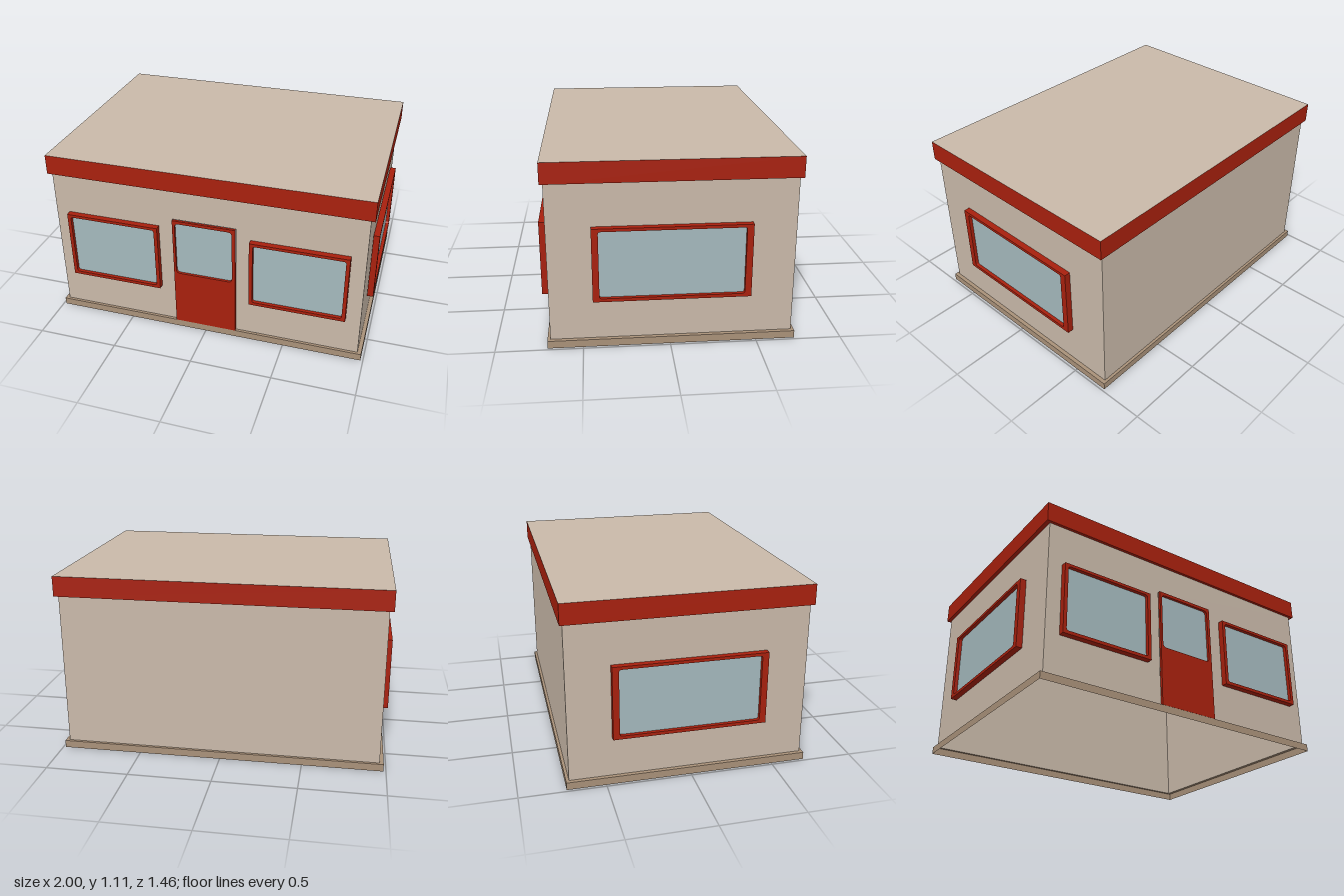
import * as THREE from 'three';

const mat = (name, color) => {
  const m = new THREE.MeshStandardMaterial({ color, side: THREE.DoubleSide });
  m.name = name;
  return m;
};

// Four-sided strip between two rectangles [halfX, halfZ] at heights yA and yB
function strip([ax, az], yA, [bx, bz], yB, skipFront = false) {
  const signs = [[-1, 1], [1, 1], [1, -1], [-1, -1]];
  const pos = [];
  for (let i = skipFront ? 1 : 0; i < 4; i++) {
    const [s, t] = [signs[i], signs[(i + 1) % 4]];
    const a = [s[0] * ax, yA, s[1] * az], b = [t[0] * ax, yA, t[1] * az];
    const c = [t[0] * bx, yB, t[1] * bz], d = [s[0] * bx, yB, s[1] * bz];
    pos.push(...a, ...b, ...c, ...a, ...c, ...d);
  }
  const g = new THREE.BufferGeometry();
  g.setAttribute('position', new THREE.Float32BufferAttribute(pos, 3));
  g.computeVertexNormals();
  return g;
}

// Rectangle outline with rounded corners
function roundRect(path, x0, y0, x1, y1, r) {
  path.moveTo(x0 + r, y0);
  path.lineTo(x1 - r, y0);
  path.quadraticCurveTo(x1, y0, x1, y0 + r);
  path.lineTo(x1, y1 - r);
  path.quadraticCurveTo(x1, y1, x1 - r, y1);
  path.lineTo(x0 + r, y1);
  path.quadraticCurveTo(x0, y1, x0, y1 - r);
  path.lineTo(x0, y0 + r);
  path.quadraticCurveTo(x0, y0, x0 + r, y0);
  return path;
}

const rect = (x0, y0, x1, y1) => new THREE.Shape([
  [x0, y0], [x1, y0], [x1, y1], [x0, y1],
].map(([x, y]) => new THREE.Vector2(x, y)));

export function createModel() {
  const model = new THREE.Group();
  model.name = 'smallShop';

  const wallMat = mat('beige wall', 0xc9b9a9);
  const baseMat = mat('tan base', 0xa99179);
  const redMat = mat('red trim', 0xa8200d);
  const glassMat = mat('pale glass', 0xa4b9bd);

  const add = (parent, name, geometry, material) => {
    const mesh = new THREE.Mesh(geometry, material);
    mesh.name = name;
    parent.add(mesh);
    return mesh;
  };

  const wall = [0.961, 0.699], rim = [0.985, 0.716];
  const baseY = 0.045, trimY = 0.985, topY = 1.107, doorTop = 0.79, doorX = 0.195;

  const house = new THREE.Group();
  house.name = 'house';
  house.position.z = -0.012;
  model.add(house);

  // Hollow base skirt and its ledge, open underneath
  add(house, 'baseSkirt', strip(rim, 0, rim, baseY), baseMat);
  add(house, 'baseLedge', strip(rim, baseY, wall, baseY), baseMat);

  // Walls, the front one with a doorway
  add(house, 'sideAndBackWalls', strip(wall, baseY, wall, trimY, true), wallMat);
  const front = new THREE.Shape([
    [-wall[0], baseY], [-doorX, baseY], [-doorX, doorTop], [doorX, doorTop],
    [doorX, baseY], [wall[0], baseY], [wall[0], trimY], [-wall[0], trimY],
  ].map(([x, y]) => new THREE.Vector2(x, y)));
  add(house, 'frontWall', new THREE.ShapeGeometry(front), wallMat).position.z = wall[1];

  // Roof band and flat roof
  add(house, 'roofBandSoffit', strip(wall, trimY, rim, trimY), redMat);
  add(house, 'roofBand', strip(rim, trimY, rim, topY), redMat);
  const roof = add(house, 'roof', new THREE.PlaneGeometry(rim[0] * 2, rim[1] * 2), wallMat);
  roof.rotation.x = -Math.PI / 2;
  roof.position.y = topY;

  // Framed panel with a glazed opening, facing +z
  const framed = (w, y0, y1, depth, hole, r) => {
    const shape = rect(-w, y0, w, y1);
    shape.holes.push(roundRect(new THREE.Path(), ...hole, r));
    return new THREE.ExtrudeGeometry(shape, { depth, bevelEnabled: false, curveSegments: 4 });
  };

  // Door slab with a glass sheet behind its upper opening
  const door = new THREE.Group();
  door.name = 'door';
  door.position.z = wall[1] + 0.002;
  house.add(door);
  add(door, 'doorPanel', framed(doorX, baseY, doorTop, 0.016, [-0.18, 0.415, 0.175, 0.77], 0.025), redMat);
  add(door, 'doorGlass', new THREE.ShapeGeometry(rect(-0.192, 0.385, 0.192, 0.777)), glassMat)
    .position.z = -0.001;

  // Windows: two on the front, one on each side
  const addWindow = (name, halfW, border, x, z, turn) => {
    const win = new THREE.Group();
    win.name = name;
    win.position.set(x, 0, z);
    win.rotation.y = turn;
    house.add(win);
    const g = halfW - border;
    add(win, 'windowFrame', framed(halfW, 0.29, 0.73, 0.037, [-g, 0.31, g, 0.712], 0.015), redMat)
      .position.z = 0.003;
    add(win, 'windowGlass', new THREE.ShapeGeometry(rect(-g - 0.005, 0.305, g + 0.005, 0.717)), glassMat)
      .position.z = 0.018;
  };
  for (const s of [-1, 1]) {
    const side = s > 0 ? 'left' : 'right';
    addWindow(side + 'FrontWindow', 0.294, 0.022, s * 0.579, wall[1], 0);
    addWindow(side + 'SideWindow', 0.449, 0.038, s * wall[0], 0.002, s * Math.PI / 2);
  }
  return model;
}
